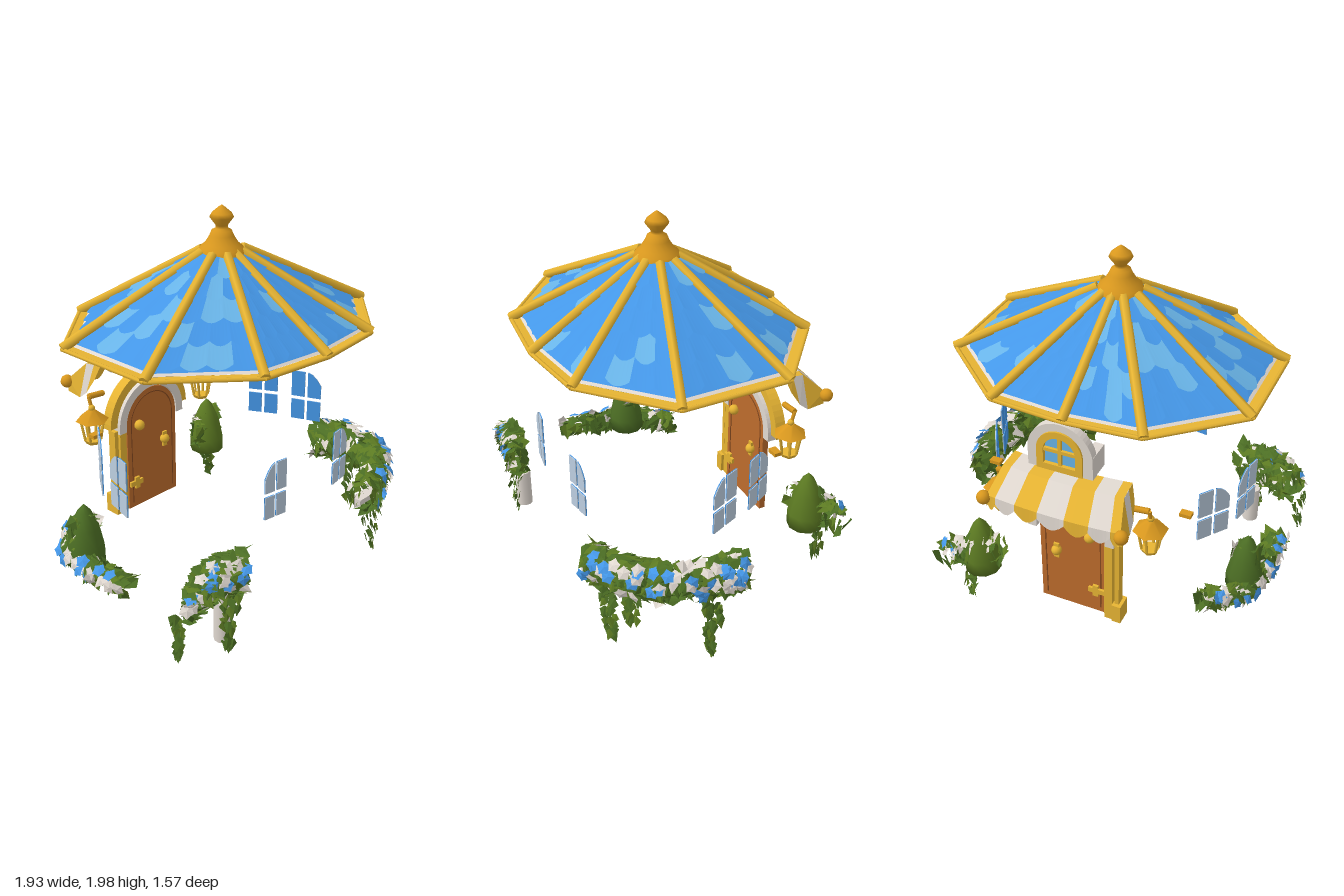
import * as THREE from 'three';
import { mergeGeometries } from 'three/addons/utils/BufferGeometryUtils.js';

const mat = (name, color) => new THREE.MeshStandardMaterial({ name, color, side: THREE.DoubleSide });
const V = (x, y, z) => new THREE.Vector3(x, y, z);

export function createModel() {
  const M = {
    gold: mat('gold', 0xe8b533), amber: mat('amber', 0xd9981e), wood: mat('door wood', 0xbd6c2c),
    darkWood: mat('dark wood', 0x85491f), stone: mat('pale stone', 0xe0d8d0), blue: mat('roof blue', 0x469aec),
    sky: mat('light blue', 0x6ab6ea), leaf: mat('leaf green', 0x4c6e24), olive: mat('olive green', 0x5c7a22),
    pane: mat('window pane', 0xbccee0),
  };
  const root = new THREE.Group();
  let seed = 7;
  const rnd = () => (seed = (seed * 16807) % 2147483647) / 2147483647;
  const add = (name, geo, m, parent = root) => {
    const mesh = new THREE.Mesh(geo, m);
    mesh.name = name;
    parent.add(mesh);
    return mesh;
  };
  const box = (w, h, d, x, y, z) => new THREE.BoxGeometry(w, h, d).translate(x, y, z);
  const ball = (r, x, y, z) => new THREE.SphereGeometry(r, 12, 8).translate(x, y, z);
  const beam = (a, b, r, sides = 6) => {
    const d = b.clone().sub(a), g = new THREE.CylinderGeometry(r, r, d.length(), sides);
    g.applyQuaternion(new THREE.Quaternion().setFromUnitVectors(V(0, 1, 0), d.normalize()));
    return g.translate((a.x + b.x) / 2, (a.y + b.y) / 2, (a.z + b.z) / 2);
  };
  // Strip between two rows of points
  const strip = (a, b) => {
    const p = [];
    for (let i = 0; i < a.length - 1; i++)
      for (const v of [a[i], a[i + 1], b[i], a[i + 1], b[i + 1], b[i]]) p.push(v.x, v.y, v.z);
    const g = new THREE.BufferGeometry().setAttribute('position', new THREE.Float32BufferAttribute(p, 3));
    g.computeVertexNormals();
    return g;
  };
  // Round-topped slab, or a round-topped band when an inner half width is given
  const arch = (w, y0, spring, z, depth, inner) => {
    const s = new THREE.Shape();
    s.moveTo(w, y0); s.lineTo(w, spring);
    s.absarc(0, spring, w, 0, Math.PI, false);
    s.lineTo(-w, y0);
    if (inner) {
      s.lineTo(-inner, y0); s.lineTo(-inner, spring);
      s.absarc(0, spring, inner, Math.PI, 0, true);
      s.lineTo(inner, y0);
    }
    s.closePath();
    return new THREE.ExtrudeGeometry(s, { depth, bevelEnabled: false, curveSegments: 14 }).translate(-0.025, 0, z);
  };

  // Ten-sided roof with a flat rim
  const half = [[0, 0.69], [0.4, 0.645], [0.805, 0.285], [0.805, -0.285], [0.4, -0.645], [0, -0.68]];
  const corners = [...half, ...half.slice(1, 5).reverse().map(([x, z]) => [-x, z])];
  const ground = (k, u, t, y) => {
    const a = corners[k % 10], b = corners[(k + 1) % 10], s = 1 - t;
    return V(-0.028 + (a[0] + (b[0] - a[0]) * u) * s, y, 0.08 + (a[1] + (b[1] - a[1]) * u) * s);
  };
  const slope = (k, u, t, lift = 0) => ground(k, u, t, 1.405 + t * 0.43 - 0.035 * (1 - t) + lift);
  const ridge = (k, t) => ground(k, 0, t, 1.402 + t * 0.43);
  const tiles = { blue: [], sky: [] }, ribs = [], rim = [], base = [], trim = [];
  const band = (k, f) => [0, 1].map(u => f(k, u));
  for (let k = 0; k < 10; k++) {
    base.push(strip(band(k, (i, u) => slope(i, u, 0.095)), band(k, (i, u) => slope(i, u, 0.87))));
    trim.push(strip(band(k, (i, u) => slope(i, u, 0.075)), band(k, (i, u) => slope(i, u, 0.095))));
    rim.push(strip(band(k, (i, u) => ground(i, u, 0, 1.405)), band(k, (i, u) => ground(i, u, 0.08, 1.402))));
    ribs.push(beam(ridge(k, 0.01), ridge(k, 0.87), 0.025), beam(ground(k, 0, 0.012, 1.4), ground(k, 1, 0.012, 1.4), 0.011));
    [4, 4, 3, 3, 2].forEach((n, row) => {
      const t0 = 0.115 + row * 0.15;
      for (let i = 0; i < n; i++) {
        const low = [], high = [];
        for (let s = 0; s <= 6; s++) {
          const u = (i + s / 6) / n;
          low.push(slope(k, u, t0 - 0.035 * Math.sin(Math.PI * s / 6), 0.018));
          high.push(slope(k, u, t0 + 0.165, 0.006));
        }
        tiles[rnd() < 0.24 ? 'sky' : 'blue'].push(strip(low, high));
      }
    });
  }
  add('roofBase', mergeGeometries(base), M.blue);
  add('eavesTrim', mergeGeometries(trim), M.stone);
  add('roofTiles', mergeGeometries(tiles.blue), M.blue);
  add('paleRoofTiles', mergeGeometries(tiles.sky), M.sky);
  add('roofRibs', mergeGeometries(ribs), M.gold);
  add('roofRim', mergeGeometries(rim), M.gold);
  const cap = [[0.12, 1.765], [0.11, 1.79], [0.085, 1.81], [0.06, 1.85], [0.05, 1.875], [0.03, 1.885], [0.03, 1.9], [0.06, 1.94], [0.05, 1.96], [0.015, 1.99], [0, 2]];
  add('roofFinial', new THREE.LatheGeometry(cap.map(p => new THREE.Vector2(...p)), 16).translate(-0.03, 0, 0.08), M.amber);

  // Dormer window
  add('dormerArch', arch(0.17, 1.125, 1.225, -0.61, 0.045, 0.118), M.stone);
  add('dormerCheeks', mergeGeometries([-1, 1].map(s => box(0.05, 0.12, 0.12, -0.025 + s * 0.145, 1.19, -0.54))), M.stone);
  add('dormerFrame', arch(0.12, 1.13, 1.235, -0.62, 0.05, 0.084), M.gold);
  add('dormerSill', box(0.24, 0.035, 0.05, -0.025, 1.145, -0.595), M.gold);
  add('dormerGlass', arch(0.085, 1.16, 1.235, -0.6, 0.008), M.sky);
  add('dormerBars', mergeGeometries([box(0.018, 0.165, 0.03, -0.025, 1.24, -0.6), box(0.17, 0.018, 0.03, -0.025, 1.24, -0.6)]), M.gold);

  // Striped awning with scalloped valance
  const awning = new THREE.Group();
  awning.name = 'awning';
  root.add(awning);
  const edges = [-1, -0.86, -0.55, -0.2, 0.2, 0.55, 0.86, 1];
  const profile = [[-0.5, 1.085, 0.315], [-0.61, 1.075, 0.32], [-0.73, 0.96, 0.355]];
  for (let i = 0; i < 7; i++) {
    const parts = [], us = [0, 1, 2, 3, 4, 5, 6].map(s => edges[i] + (edges[i + 1] - edges[i]) * s / 6);
    const rows = profile.map(([z, y, w]) => us.map(u => V(-0.035 + u * w, y, z - 0.02 * (1 - u * u))));
    rows.push(rows[2].map((p, s) => V(p.x, 0.925 - 0.045 * Math.sin(Math.PI * s / 6), p.z - 0.005)));
    for (let r = 0; r < 3; r++) parts.push(strip(rows[r], rows[r + 1]));
    add('awningStripe', mergeGeometries(parts), i % 2 ? M.stone : M.gold, awning);
  }
  for (const s of [-1, 1]) {
    const q = (z, y, w) => V(-0.035 + s * w, y, z);
    add('awningSideFront', strip([q(-0.61, 1.075, 0.32), q(-0.73, 0.96, 0.355)], [q(-0.63, 0.88, 0.36), q(-0.73, 0.89, 0.36)]), M.gold, awning);
    add('awningSideMiddle', strip([q(-0.55, 1.08, 0.318), q(-0.61, 1.075, 0.32)], [q(-0.58, 0.92, 0.355), q(-0.63, 0.88, 0.36)]), M.stone, awning);
    add('awningSideBack', strip([q(-0.5, 1.085, 0.315), q(-0.55, 1.08, 0.318)], [q(-0.53, 1.0, 0.34), q(-0.58, 0.92, 0.355)]), M.gold, awning);
    add('awningKnob', ball(0.036, -0.03 + s * 0.365, 0.945, -0.735), M.amber, awning);
  }

  // Door and surround
  add('door', arch(0.185, 0.17, 0.69, -0.5, 0.035), M.wood);
  add('doorGrooves', arch(0.158, 0.2, 0.69, -0.503, 0.041, 0.152), M.darkWood);
  add('stoneArch', arch(0.24, 0.66, 0.69, -0.53, 0.07, 0.19), M.stone);
  add('goldArch', arch(0.29, 0.7, 0.695, -0.54, 0.06, 0.24), M.gold);
  add('doorPost', mergeGeometries([box(0.045, 0.5, 0.06, -0.235, 0.42, -0.5), box(0.05, 0.11, 0.09, -0.285, 0.23, -0.5)]), M.gold);
  add('doorPostStrip', box(0.025, 0.4, 0.05, -0.28, 0.48, -0.5), M.gold);
  const fittings = [];
  for (const z of [-0.52, -0.45]) fittings.push(ball(0.028, 0.06, 0.53, z), box(0.03, 0.09, 0.012, 0.06, 0.53, z * 0.98 - 0.01),
    box(0.09, 0.03, 0.014, -0.165, 0.33, z), box(0.03, 0.07, 0.014, -0.16, 0.33, z), ball(0.03, -0.13, 0.68, z));
  add('doorFittings', mergeGeometries(fittings), M.gold);

  // Hanging lanterns
  for (const [x, s] of [[-0.44, -1], [0.39, 1]]) {
    const lantern = new THREE.Group(), g = [];
    lantern.name = 'lantern';
    lantern.position.set(x, 0, -0.48);
    root.add(lantern);
    add('lanternCap', new THREE.CylinderGeometry(0.018, 0.09, 0.06, 6).translate(0, 0.84, 0), M.amber, lantern);
    for (let i = 0; i < 6; i++) {
      const a = i * Math.PI / 3, c = Math.sin(a), d = Math.cos(a);
      g.push(beam(V(c * 0.063, 0.815, d * 0.063), V(c * 0.042, 0.69, d * 0.042), 0.008, 4));
    }
    g.push(new THREE.CylinderGeometry(0.05, 0.04, 0.02, 6).translate(0, 0.685, 0), ball(0.018, 0, 0.88, 0));
    add('lanternCage', mergeGeometries(g), M.gold, lantern);
    add('lanternHook', mergeGeometries([beam(V(0, 0.87, 0), V(0, 0.94, -0.02), 0.01), beam(V(0, 0.94, -0.02), V(-s * 0.1, 0.93, -0.02), 0.016),
      box(0.06, 0.02, 0.04, s * 0.12, 0.82, 0.17)]), M.amber, lantern);
  }

  // Window leaves: pale outside, blue inside; ends given as x, z pairs
  const leaves = [[0.715, 0.16, 0.65, 0], [0.63, -0.09, 0.55, -0.24], [-0.73, 0, -0.77, 0.16], [-0.6, -0.24, -0.71, -0.09], [-0.33, 0.65, -0.2, 0.67], [0.17, 0.67, 0.3, 0.65]];
  leaves.forEach(([x0, z0, x1, z1], n) => {
    const w = Math.hypot(x1 - x0, z1 - z0), side = n % 2 ? 1 : -1, panes = [];
    const top = u => 0.905 - 0.075 * Math.max(0, u * side * 2) ** 2;
    for (const [a, b] of [[-0.5, -0.05], [0.05, 0.5]]) for (const [lo, hi] of [[0.61, () => 0.73], [0.752, top]]) {
      const s = new THREE.Shape();
      s.moveTo(a * w, lo); s.lineTo(b * w, lo);
      for (const f of [1, 0.67, 0.33, 0]) s.lineTo((a + (b - a) * f) * w, hi(a + (b - a) * f));
      s.closePath();
      panes.push(new THREE.ExtrudeGeometry(s, { depth: 0.004, bevelEnabled: false }));
    }
    const win = new THREE.Group();
    win.name = 'windowLeaf';
    const outer = add('outerPanes', mergeGeometries(panes), M.pane, win);
    add('innerPanes', outer.geometry, M.blue, win).position.z = -0.005;
    win.position.set((x0 + x1) / 2, 0, (z0 + z1) / 2);
    win.rotation.y = Math.atan2(-(z1 - z0), x1 - x0);
    root.add(win);
  });

  // Foliage: folded leaves, pale buds and small flowers scattered around a path
  const leafGeo = strip([V(-0.36, 0.1, -0.1), V(0, -0.55, 0)], [V(0, 0.45, 0), V(0.36, 0.1, -0.1)]);
  const flowerGeo = strip([0, 1, 2, 3, 4, 5, 6, 7, 8, 9, 10].map(i => {
    const a = i * Math.PI / 5, r = i % 2 ? 0.4 : 0.55;
    return V(Math.cos(a) * r, Math.sin(a) * r, 0);
  }), Array(11).fill(V(0, 0, 0.12)));
  const place = (geo, p, n, size, spin) => {
    const q = new THREE.Quaternion().setFromUnitVectors(V(0, 0, 1), n.normalize());
    q.multiply(new THREE.Quaternion().setFromAxisAngle(V(0, 0, 1), spin));
    return geo.clone().applyMatrix4(new THREE.Matrix4().compose(p, q, V(size, size, size)));
  };
  const leafTone = pale => {
    const r = rnd();
    return r < pale ? 'stone' : r < 0.66 ? 'leaf' : 'olive';
  };
  const bush = (name, path, rx, ry, count, flowers, vines) => {
    const g = new THREE.Group(), sets = { leaf: [], olive: [], stone: [], blue: [] };
    g.name = name;
    root.add(g);
    const curve = new THREE.CatmullRomCurve3(path.map(p => V(...p)));
    for (let i = 0; i < count + flowers; i++) {
      const p = curve.getPoint(rnd()), a = rnd() * Math.PI * 2, out = V(p.x, 0, p.z).normalize();
      const n = out.clone().multiplyScalar(Math.cos(a)).add(V(0, Math.sin(a), 0)), flower = i >= count;
      if (flower) n.copy(out).add(V(0, rnd() * 1.6 - 0.4, 0)).normalize();
      const r = flower ? 1.12 : 0.65 + 0.35 * rnd();
      p.add(V(n.x * rx * r, n.y * ry * r, n.z * rx * r));
      n.add(V(rnd() - 0.5, rnd() - 0.3, rnd() - 0.5));
      if (flower) sets[rnd() < 0.5 ? 'stone' : 'blue'].push(place(flowerGeo, p, n, 0.068, rnd()));
      else sets[leafTone(0.06)].push(place(leafGeo, p, n, 0.08 + rnd() * 0.035, (rnd() - 0.5) * 2));
    }
    for (const [x, z, y0, y1, width] of vines) for (let y = y0; y > y1 + 0.03; y -= 0.01) {
      const spread = width * (y - y1) / (y0 - y1) + 0.015;
      const p = V(x + (rnd() - 0.5) * spread * 2, y, z + (rnd() - 0.5) * spread);
      sets[leafTone(0)].push(place(leafGeo, p, V(x + rnd() - 0.5, 0.2, z + rnd() - 0.5), 0.065, rnd() - 0.5));
    }
    const names = { leaf: 'leaves', olive: 'paleLeaves', stone: 'paleFlowers', blue: 'blueFlowers' };
    for (const k in sets) if (sets[k].length) add(names[k], mergeGeometries(sets[k]), M[k], g);
  };
  bush('frontLeftBush', [[0.42, 0.45, 0.69], [0.62, 0.47, 0.63], [0.78, 0.48, 0.46], [0.85, 0.46, 0.2], [0.82, 0.43, 0.05]], 0.08, 0.12, 360, 46,
    [[0.58, 0.66, 0.38, 0.01, 0.065], [0.9, 0.26, 0.38, 0.01, 0.05], [0.7, 0.6, 0.36, 0.17, 0.06]]);
  bush('frontRightBush', [[-0.86, 0.4, 0.66], [-0.7, 0.47, 0.68], [-0.54, 0.45, 0.71]], 0.065, 0.125, 190, 22,
    [[-0.63, 0.71, 0.36, 0.02, 0.05], [-0.92, 0.65, 0.36, 0.1, 0.02]]);
  bush('sideBush', [[-0.68, 0.31, -0.34], [-0.84, 0.31, -0.2], [-0.89, 0.32, 0], [-0.89, 0.34, 0.27]], 0.06, 0.06, 200, 22, []);
  bush('sideShrubLeaves', [[-0.83, 0.34, -0.1], [-0.83, 0.44, -0.1], [-0.83, 0.52, -0.1]], 0.085, 0.05, 90, 0, []);
  bush('backBush', [[0.4, 0.42, -0.52], [0.52, 0.42, -0.57], [0.67, 0.38, -0.63]], 0.065, 0.09, 120, 14, [[0.56, -0.58, 0.38, 0.04, 0.05]]);

  // Trimmed cone shrubs
  const shrub = [[0, 0.27], [0.1, 0.28], [0.1, 0.36], [0.075, 0.48], [0.035, 0.57], [0, 0.61]].map(p => new THREE.Vector2(...p));
  for (const [x, z, m] of [[-0.83, -0.1, M.leaf], [0.5, -0.54, M.olive]])
    add('coneShrub', new THREE.LatheGeometry(shrub, 10).translate(x, 0, z), m);

  // Pale planter post and ledge
  add('planterPost', new THREE.CylinderGeometry(0.045, 0.045, 0.22, 10).translate(-0.63, 0.2, 0.66), M.stone);
  add('planterLedge', box(0.2, 0.03, 0.06, 0.52, 0.4, 0.65), M.stone);
  return root;
}
